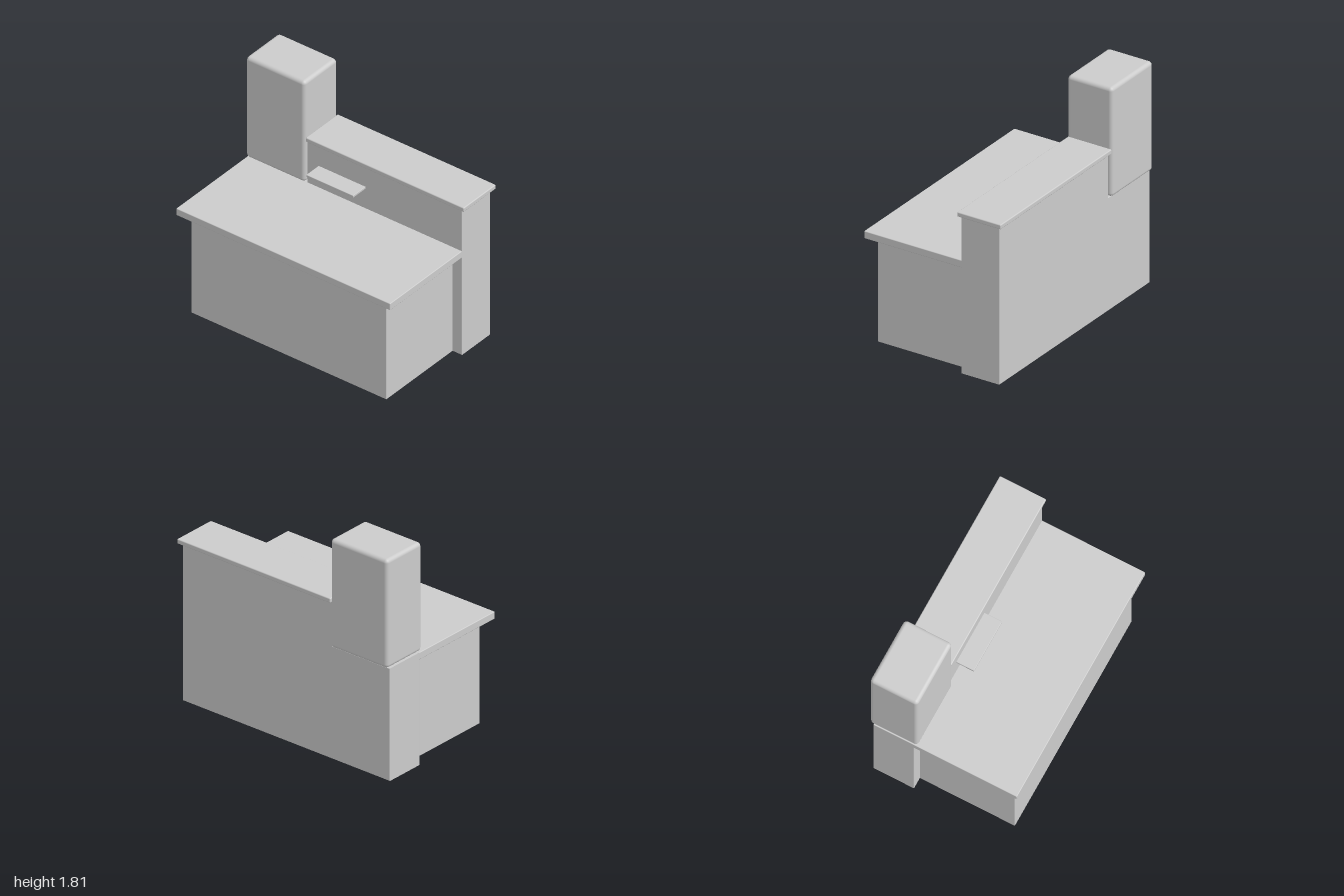
import * as THREE from 'three';
import { RoundedBoxGeometry } from 'three/addons/geometries/RoundedBoxGeometry.js';

export function createModel() {
  const model = new THREE.Group();
  const material = new THREE.MeshStandardMaterial({ color: 0xcccccc });

  function add(name, geometry) {
    const mesh = new THREE.Mesh(geometry, material);
    mesh.name = name;
    model.add(mesh);
    return mesh;
  }

  // Rounded block given by its extents on each axis
  function block(name, [x0, x1], [y0, y1], [z0, z1], radius) {
    const geometry = new RoundedBoxGeometry(x1 - x0, y1 - y0, z1 - z0, 4, radius);
    add(name, geometry).position.set((x0 + x1) / 2, (y0 + y1) / 2, (z0 + z1) / 2);
  }

  // Desk body and overhanging worktop
  block('deskBody', [-0.91, 0.885], [0, 0.865], [-0.25, 0.54], 0.004);
  block('worktop', [-1, 0.97], [0.86, 0.92], [-0.25, 0.605], 0.006);

  // Back wall, stepped down below the tower
  const bevel = 0.004;
  const outline = new THREE.Shape([
    [-1, 0], [0.97, 0], [0.97, 1.288], [-0.455, 1.288], [-0.455, 0.92], [-1, 0.92],
  ].map(([x, y]) => new THREE.Vector2(x, y)));
  const wall = new THREE.ExtrudeGeometry(outline, {
    depth: 0.335 - 2 * bevel, bevelThickness: bevel, bevelSize: bevel,
    bevelOffset: -bevel, bevelSegments: 2,
  });
  add('backWall', wall).position.z = -0.577 + bevel;

  // Raised counter ledge
  block('ledge', [-0.457, 1], [1.284, 1.322], [-0.607, -0.226], 0.008);

  // Small shelf projecting from the wall
  block('shelf', [-0.35, 0.083], [1.09, 1.11], [-0.25, -0.097], 0.004);

  // Softly rounded tower
  block('tower', [-1, -0.458], [0.925, 1.813], [-0.607, -0.215], 0.03);

  return model;
}
